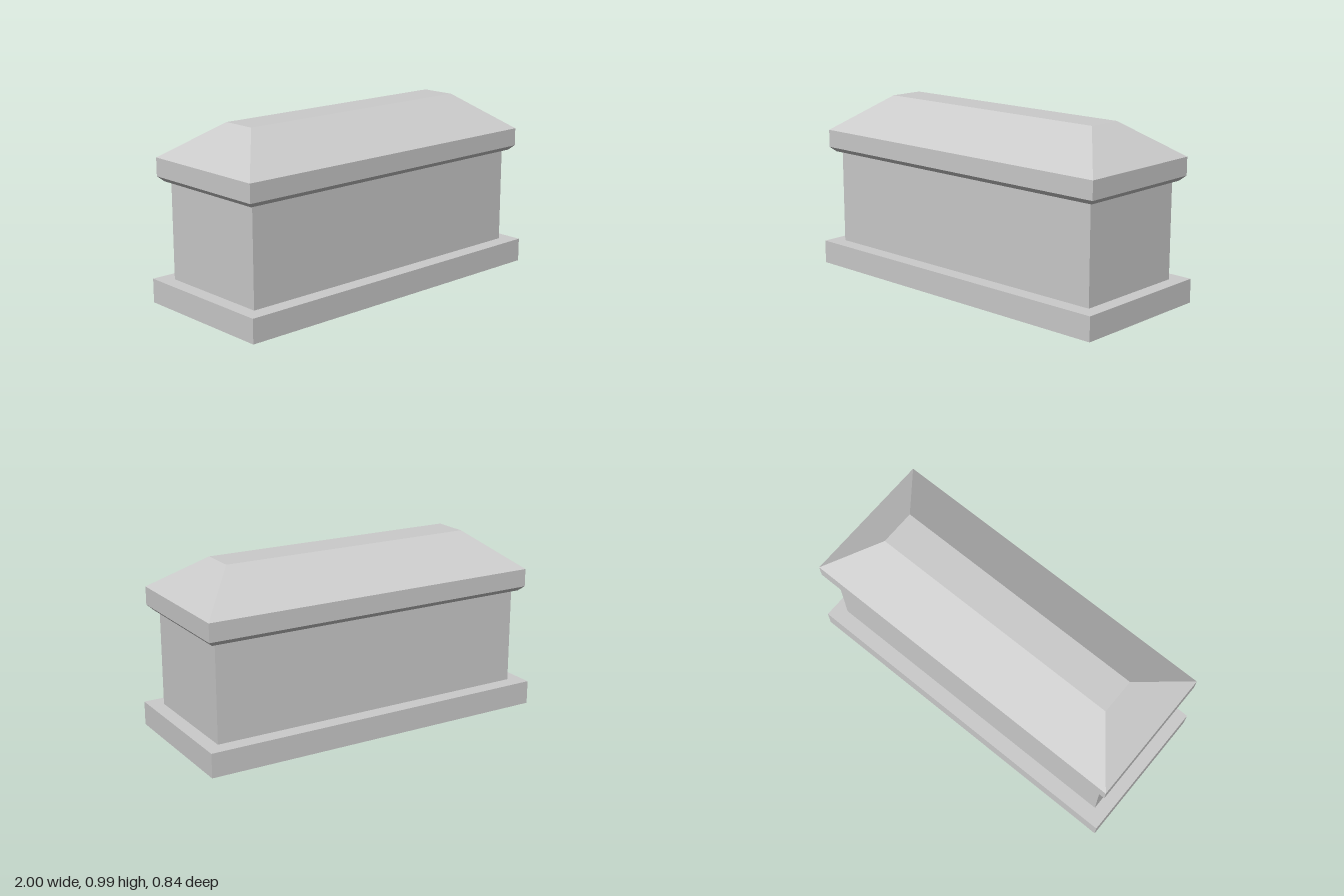
import * as THREE from 'three';

const material = new THREE.MeshStandardMaterial({ color: 0xcccccc, flatShading: true });

// Solid of stacked rectangles; each level is [y, half width, half depth], bottom to top
function rectStack(name, levels) {
  const steps = levels.length - 1;
  const box = new THREE.BoxGeometry(2, 1, 2, 1, steps, 1);
  const pos = box.attributes.position;
  for (let i = 0; i < pos.count; i++) {
    const [y, hx, hz] = levels[Math.round((pos.getY(i) + 0.5) * steps)];
    pos.setXYZ(i, Math.sign(pos.getX(i)) * hx, y, Math.sign(pos.getZ(i)) * hz);
  }
  const geometry = box.toNonIndexed();
  geometry.computeVertexNormals();
  const mesh = new THREE.Mesh(geometry, material);
  mesh.name = name;
  return mesh;
}

export function createModel() {
  const group = new THREE.Group();
  group.name = 'stoneTomb';

  // Wide plinth and the plain chest standing on it
  group.add(rectStack('plinth', [[0, 1, 0.42], [0.132, 1, 0.42]]));
  group.add(rectStack('chest', [[0.132, 0.922, 0.333], [0.665, 0.922, 0.333]]));

  // Lid: chamfered underside, upright rim, hipped slopes and flat ridge
  group.add(rectStack('lid', [
    [0.665, 0.948, 0.358],
    [0.691, 0.975, 0.385],
    [0.791, 0.975, 0.385],
    [0.985, 0.733, 0.1],
  ]));

  return group;
}
